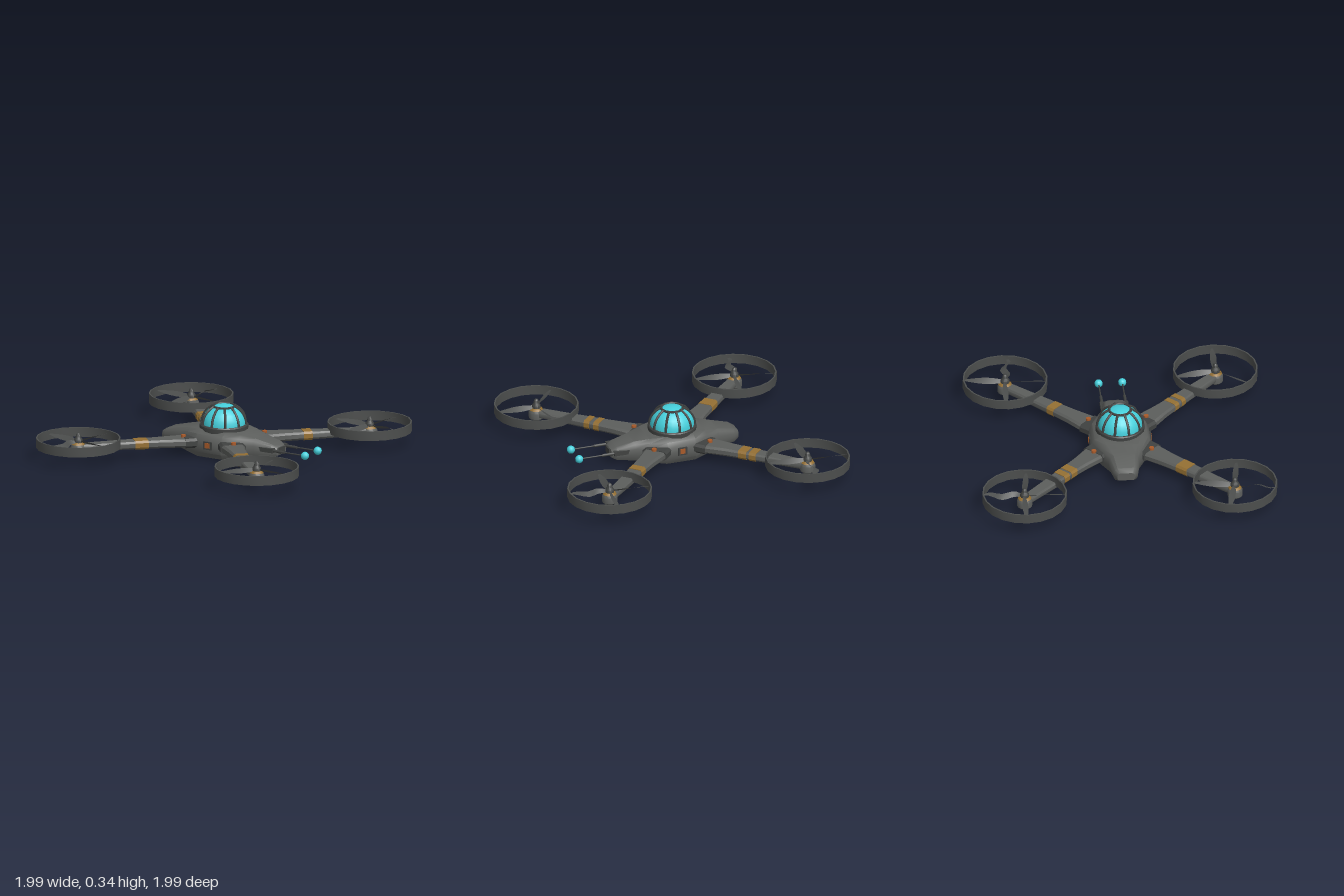
import * as THREE from 'three';
import { toCreasedNormals } from 'three/addons/utils/BufferGeometryUtils.js';

const mat = (name, color, side = THREE.FrontSide) => {
  const m = new THREE.MeshStandardMaterial({ color, side });
  m.name = name;
  return m;
};

// Skin a closed profile of [z, y] pairs (z -1..1, y 0..1) along x.
// Each station is [x, halfWidth, bottomY, topY].
function loft(stations, profile) {
  const rings = stations.map(([x, w, b, t]) => profile.map(([z, y]) => [x, b + (t - b) * y, z * w]));
  const pos = [], n = profile.length, last = rings.length - 1;
  const tri = (...p) => p.forEach((v) => pos.push(...v));
  const middle = ([x, , b, t]) => [x, (b + t) / 2, 0];
  for (let j = 0; j < n; j++) {
    const k = (j + 1) % n;
    for (let i = 0; i < last; i++) {
      tri(rings[i][j], rings[i + 1][j], rings[i + 1][k]);
      tri(rings[i][j], rings[i + 1][k], rings[i][k]);
    }
    tri(middle(stations[0]), rings[0][j], rings[0][k]);
    tri(middle(stations[last]), rings[last][k], rings[last][j]);
  }
  const geo = new THREE.BufferGeometry();
  geo.setAttribute('position', new THREE.Float32BufferAttribute(pos, 3));
  return toCreasedNormals(geo, 0.6);
}

const lathe = (pts, segments) =>
  toCreasedNormals(new THREE.LatheGeometry(pts.map(([r, y]) => new THREE.Vector2(r, y)), segments), 0.6);

// Thin twisted blade pointing along +x, optionally bent out of line
function bladeGeometry(bent) {
  const geo = new THREE.PlaneGeometry(0.255, 1, 8, 1).rotateX(-Math.PI / 2);
  const p = geo.attributes.position;
  for (let i = 0; i < p.count; i++) {
    const u = p.getX(i) / 0.255 + 0.5;
    const w = p.getZ(i) * (0.014 + 0.034 * Math.sin(Math.PI * Math.min(1, u * 0.9 + 0.1)));
    const pitch = 0.75 - 0.5 * u;
    const kink = bent ? 0.018 * Math.sin(u * 9) : 0;
    p.setXYZ(i, 0.02 + u * 0.255, w * Math.sin(pitch) + 0.135, w * Math.cos(pitch) + kink);
  }
  geo.computeVertexNormals();
  return geo;
}

export function createModel() {
  const root = new THREE.Group();
  root.name = 'quadcopter';
  const hullGrey = mat('hullGrey', 0x5c5e5c);
  const darkGrey = mat('darkGrey', 0x404241);
  const thinGrey = mat('bladeGrey', 0x4c4e4d, THREE.DoubleSide);
  const cyan = mat('cyanGlass', 0x45cfdb);
  const orange = mat('rustOrange', 0xa85a2a);
  const ochre = mat('ochrePaint', 0x957033);

  const add = (parent, name, geo, material, x = 0, y = 0, z = 0) => {
    const m = new THREE.Mesh(geo, material);
    m.name = name;
    m.position.set(x, y, z);
    parent.add(m);
    return m;
  };

  // Hull: wide in the middle, blunt narrow ends
  const hullProfile = [[0.86, 0], [0.97, 0.2], [1, 0.42], [0.98, 0.65], [0.88, 0.87], [0.68, 1]];
  const closed = (half) => [...half, ...half.map(([z, y]) => [-z, y]).reverse()];
  const halfHull = [[0.1, 0.205, 0, 0.18], [0.2, 0.155, 0.008, 0.17], [0.3, 0.105, 0.02, 0.152],
    [0.42, 0.083, 0.035, 0.125], [0.455, 0.06, 0.05, 0.105]];
  const stations = [...halfHull.map(([x, ...r]) => [-x, ...r]).reverse(), ...halfHull];
  add(root, 'hull', loft(stations, closed(hullProfile)), hullGrey);

  // Dome with base collar, ribs and crown ring
  const domePoint = (a, grow = 0) => [(0.15 + grow) * Math.cos(a), 0.205 + (0.132 + grow) * Math.sin(a)];
  const arc = Array.from({ length: 9 }, (_, i) => domePoint((i / 8) * Math.PI / 2));
  add(root, 'dome', lathe([[0.15, 0.165], ...arc], 20), cyan);
  add(root, 'domeCollar', lathe([[0.165, 0.16], [0.165, 0.198], [0.16, 0.205], [0.145, 0.205]], 20), darkGrey);
  const ribPath = new THREE.CatmullRomCurve3([0, 0.25, 0.5, 0.75, 1].map((t) => {
    const [r, y] = domePoint(t * 1.06, 0.004);
    return new THREE.Vector3(r, y, 0);
  }));
  const ribGeo = new THREE.TubeGeometry(ribPath, 8, 0.009, 5);
  for (let i = 0; i < 10; i++) add(root, 'domeRib', ribGeo, darkGrey).rotation.y = ((i + 0.5) / 10) * Math.PI * 2;
  const [crownR, crownY] = domePoint(1.06, 0.004);
  add(root, 'domeCrown', new THREE.TorusGeometry(crownR, 0.009, 5, 10).rotateX(Math.PI / 2), darkGrey, 0, crownY);

  // Side hatches and nose block
  for (const s of [1, -1]) {
    add(root, 'hatchFrame', new THREE.BoxGeometry(0.065, 0.055, 0.02), darkGrey, 0, 0.09, s * 0.2);
    add(root, 'hatchLight', new THREE.BoxGeometry(0.036, 0.036, 0.02), orange, 0, 0.092, s * 0.204);
  }
  add(root, 'noseBlock', new THREE.BoxGeometry(0.04, 0.045, 0.07), darkGrey, 0.443, 0.08, 0);

  // Twin emitters
  const rod = (r, len) => new THREE.CylinderGeometry(r, r, len, 8).rotateZ(Math.PI / 2);
  for (const s of [1, -1]) {
    const z = s * 0.08;
    add(root, 'emitterMount', new THREE.BoxGeometry(0.11, 0.03, 0.032), darkGrey, 0.39, 0.09, z);
    add(root, 'emitterSleeve', rod(0.01, 0.1), darkGrey, 0.48, 0.09, z);
    add(root, 'emitterRod', rod(0.005, 0.2), darkGrey, 0.6, 0.09, z);
    add(root, 'emitterTip', new THREE.SphereGeometry(0.028, 10, 8), cyan, 0.695, 0.09, z);
  }

  // Shared arm and rotor geometry
  const armProfile = closed([[0.8, 0], [1, 0.25], [1, 0.75], [0.8, 1]]);
  const armGeo = loft([[0.12, 0.06, 0.07, 0.118], [0.27, 0.08, 0.066, 0.122], [0.42, 0.06, 0.066, 0.122],
    [0.58, 0.051, 0.067, 0.12], [0.98, 0.037, 0.07, 0.115]], armProfile);
  const clampGeo = loft([[0.16, 0.085, 0.06, 0.13], [0.28, 0.088, 0.062, 0.126]], armProfile);
  const bandGeo = (a, b) => loft([a, b].map((r) => [r, 0.066 - r * 0.022, 0.064, 0.124]), armProfile);
  const motorGeo = lathe([[0, 0.048], [0.042, 0.048], [0.052, 0.058], [0.052, 0.1], [0.042, 0.118], [0, 0.118]], 12);
  const collarGeo = new THREE.CylinderGeometry(0.036, 0.046, 0.014, 12);
  const hubGeo = lathe([[0.03, 0.12], [0.03, 0.148], [0.018, 0.165], [0.016, 0.182], [0.008, 0.192], [0, 0.192]], 10);
  const guardGeo = lathe([[0.276, 0.095], [0.286, 0.095], [0.286, 0.16], [0.276, 0.16], [0.276, 0.095]], 20);
  const blade = bladeGeometry(false), bentBlade = bladeGeometry(true);

  // x sign, z sign, blade headings in degrees, index of bent blade, paint bands
  const corners = [
    [1, 1, [0, 100, 230], -1, [[0.52, 0.56], [0.59, 0.63]]],
    [1, -1, [82, 176, 265, 353], 3, [[0.54, 0.6]]],
    [-1, -1, [85, 177, 268, 353], 0, [[0.51, 0.57], [0.59, 0.64]]],
    [-1, 1, [79, 167, 260, 353], 2, [[0.53, 0.62]]],
  ];
  for (const [sx, sz, headings, bent, bands] of corners) {
    const arm = new THREE.Group();
    arm.name = 'arm';
    arm.rotation.y = Math.atan2(-sz, sx);
    root.add(arm);
    add(arm, 'armBeam', armGeo, hullGrey);
    add(arm, 'armClamp', clampGeo, darkGrey);
    bands.forEach(([a, b]) => add(arm, 'paintBand', bandGeo(a, b), ochre));
    add(root, 'armBolt', new THREE.CylinderGeometry(0.017, 0.02, 0.076, 10), orange, sx * 0.2, 0.1, sz * 0.195);

    const rotor = new THREE.Group();
    rotor.name = 'rotor';
    rotor.position.set(sx * 0.71, 0, sz * 0.71);
    root.add(rotor);
    add(rotor, 'motor', motorGeo, hullGrey);
    add(rotor, 'motorCollar', collarGeo, ochre, 0, 0.121);
    add(rotor, 'hub', hubGeo, darkGrey);
    add(rotor, 'guardRing', guardGeo, thinGrey);
    headings.forEach((deg, i) => {
      add(rotor, 'blade', i === bent ? bentBlade : blade, thinGrey).rotation.y = THREE.MathUtils.degToRad(deg);
    });
  }
  return root;
}
